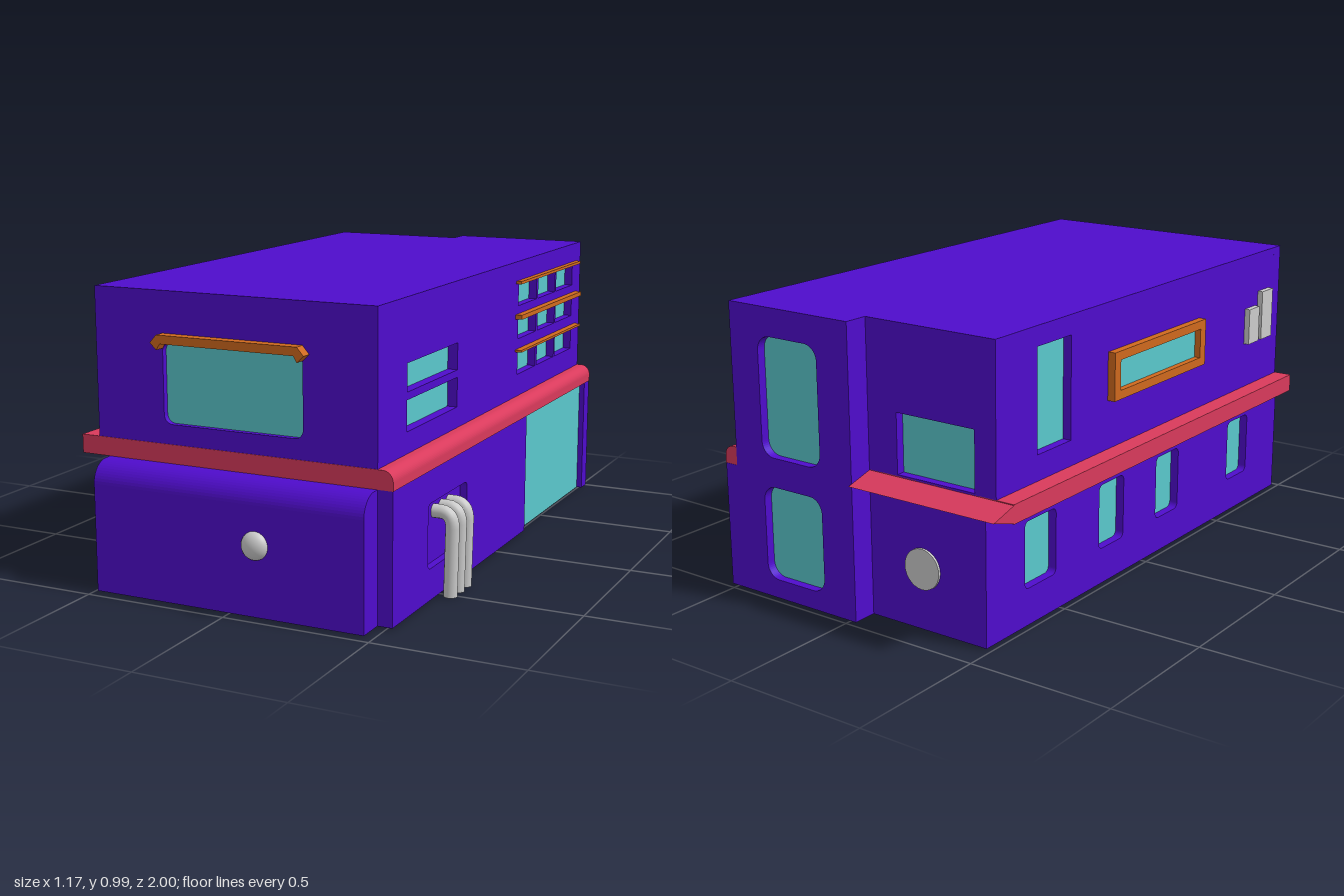
import * as THREE from 'three';

const paint = (color) => new THREE.MeshStandardMaterial({ color, side: THREE.DoubleSide });
const WALL = paint(0x4f0ccc), TRIM = paint(0xd93a5c), WOOD = paint(0xd0691e);
const GLASS = paint(0x5ac8cc), GREY = paint(0xcccccc);
const T = 0.05, BASE = 0.005, MID = 0.433, BAND = 0.495, TOP = 0.985;

// Each side: turn about y, and sign from the world axis to the wall's own axis
const SIDES = {
  front: [0, 1], right: [Math.PI / 2, -1], back: [Math.PI, -1], left: [-Math.PI / 2, 1],
};

export function createModel() {
  const model = new THREE.Group();

  function add(name, geometry, material, parent = model) {
    const mesh = new THREE.Mesh(geometry, material);
    mesh.name = name;
    parent.add(mesh);
    return mesh;
  }

  function box(name, material, x0, x1, y0, y1, z0, z1) {
    const m = add(name, new THREE.BoxGeometry(x1 - x0, y1 - y0, z1 - z0), material);
    m.position.set((x0 + x1) / 2, (y0 + y1) / 2, (z0 + z1) / 2);
    return m;
  }

  function roundRect(Kind, a, b, y0, y1, r) {
    const s = new Kind();
    if (r <= 0) {
      s.moveTo(a, y0).lineTo(b, y0).lineTo(b, y1).lineTo(a, y1).closePath();
      return s;
    }
    s.absarc(b - r, y0 + r, r, -Math.PI / 2, 0);
    s.absarc(b - r, y1 - r, r, 0, Math.PI / 2);
    s.absarc(a + r, y1 - r, r, Math.PI / 2, Math.PI);
    s.absarc(a + r, y0 + r, r, Math.PI, Math.PI * 1.5);
    s.closePath();
    return s;
  }

  const extrude = (shape, depth) =>
    new THREE.ExtrudeGeometry(shape, { depth, bevelEnabled: false, curveSegments: 6 });

  // Wall panel whose outer face lies at distance d; openings are [a, b, y0, y1, radius, recess, material]
  function wall(name, side, d, a, b, y0, y1, openings = []) {
    const [turn, s] = SIDES[side];
    const span = (p, q) => (s > 0 ? [p, q] : [-q, -p]);
    const group = new THREE.Group();
    group.name = name;
    group.rotation.y = turn;
    const shape = roundRect(THREE.Shape, ...span(a, b), y0, y1, 0);
    for (const [p, q, v0, v1, r, recess, material = GLASS] of openings) {
      shape.holes.push(roundRect(THREE.Path, ...span(p, q), v0, v1, r));
      const pane = new THREE.ShapeGeometry(roundRect(THREE.Shape, ...span(p, q), v0, v1, r), 6);
      add(material === GLASS ? 'windowPane' : 'recessPanel', pane, material, group).position.z = d - recess;
    }
    add(name + 'Panel', extrude(shape, T), WALL, group).position.z = d - T;
    model.add(group);
  }

  // Solid core behind the wall panels, with the rear corner notched
  function core(name, x0, x1, y0, y1) {
    const plan = [[x0 + T, 0.825], [x1 - T, 0.825], [x1 - T, -0.935], [-0.03, -0.935], [-0.03, -0.85], [x0 + T, -0.85]];
    const shape = new THREE.Shape(plan.map(([x, z]) => new THREE.Vector2(x, -z)));
    const m = add(name, extrude(shape, y1 - y0), WALL);
    m.rotation.x = -Math.PI / 2;
    m.position.y = y0;
  }
  core('lowerCore', -0.485, 0.52, BASE, MID + 0.01);
  core('upperCore', -0.525, 0.47, MID, TOP);

  // Upper storey
  const grid = [];
  for (const [y0, y1] of [[0.575, 0.663], [0.705, 0.785], [0.825, 0.908]])
    for (const z of [-0.89, -0.69, -0.485]) grid.push([z, z + 0.187, y0, y1, 0, 0.03]);
  wall('upperFrontWall', 'front', 0.875, -0.525, 0.47, MID, TOP, [[-0.275, 0.22, 0.56, 0.822, 0.03, 0.02]]);
  wall('upperRightWall', 'right', 0.47, -0.985, 0.875, MID, TOP, [
    [0.265, 0.665, 0.69, 0.78, 0, 0.035], [0.265, 0.665, 0.565, 0.665, 0, 0.035], ...grid]);
  wall('upperLeftWall', 'left', 0.525, -0.9, 0.875, MID, TOP, [[-0.69, -0.51, 0.58, 0.92, 0, 0.03]]);
  wall('upperRearWall', 'back', 0.9, -0.525, -0.03, MID, TOP, [[-0.445, -0.145, 0.5, 0.7, 0, 0.03]]);
  wall('upperTowerWall', 'back', 0.985, -0.03, 0.47, MID, TOP, [[0.1, 0.35, 0.49, 0.89, 0.05, 0.03]]);

  // Lower storey
  wall('lowerFrontWall', 'front', 0.875, -0.485, 0.52, BASE, MID);
  wall('lowerRightWall', 'right', 0.52, -0.27, 0.875, BASE, MID, [[0.29, 0.61, 0.11, 0.325, 0.02, 0.025, WALL]]);
  wall('rearPost', 'right', 0.52, -0.985, -0.93, BASE, MID);
  wall('lowerLeftWall', 'left', 0.485, -0.9, 0.875, BASE, MID,
    [[-0.7, -0.53], [-0.28, -0.13], [0.08, 0.23], [0.59, 0.74]].map(([a, b]) => [a, b, 0.13, 0.355, 0.02, 0.03]));
  wall('lowerRearWall', 'back', 0.9, -0.485, -0.03, BASE, MID);
  wall('lowerTowerWall', 'back', 0.985, -0.03, 0.52, BASE, MID, [[0.1, 0.35, 0.07, 0.39, 0.05, 0.03]]);
  box('garageGlass', GLASS, 0.465, 0.5, BASE, MID, -0.935, -0.265);

  // Front bulge with rounded top edge
  const bulge = new THREE.Shape();
  bulge.moveTo(0.86, BASE).lineTo(0.97, BASE).lineTo(0.97, 0.363);
  bulge.absarc(0.9, 0.363, 0.07, 0, Math.PI / 2);
  bulge.lineTo(0.86, 0.433).closePath();
  const bulgeMesh = add('frontBulge', extrude(bulge, 0.955), WALL);
  bulgeMesh.rotation.y = -Math.PI / 2;
  bulgeMesh.position.x = 0.47;
  // Turned profile runs along +z, so the extrusion runs towards -x

  // Band between the storeys, rounded along its right edge
  function bandSlab(x0, z0, z1) {
    const s = new THREE.Shape();
    s.moveTo(x0, MID).lineTo(0.522, MID).lineTo(0.522, BAND - 0.035);
    s.absarc(0.487, BAND - 0.035, 0.035, 0, Math.PI / 2);
    s.lineTo(x0, BAND).closePath();
    add('storeyBand', extrude(s, z1 - z0), TRIM).position.z = z0;
  }
  bandSlab(-0.59, -0.9, 0.877);
  bandSlab(0.465, -0.984, -0.9);
  const wedge = new THREE.Shape([[0.89, MID], [1, 0.465], [0.89, BAND]].map((p) => new THREE.Vector2(...p)));
  const rearBand = add('rearBand', extrude(wedge, 0.56), TRIM);
  rearBand.rotation.y = Math.PI / 2;
  rearBand.position.x = -0.59;

  // Awning over the front window
  const awning = new THREE.Shape([[-0.275, 0.85], [-0.298, 0.824], [-0.275, 0.802], [-0.262, 0.822],
    [0.208, 0.822], [0.22, 0.802], [0.243, 0.824], [0.22, 0.85]].map((p) => new THREE.Vector2(...p)));
  add('frontAwning', extrude(awning, 0.04), WOOD).position.z = 0.872;

  // Slats over the window grid
  box('topSlat', WOOD, 0.465, 0.49, 0.906, 0.916, -0.93, -0.27);
  box('middleSlat', WOOD, 0.465, 0.495, 0.78, 0.796, -0.93, -0.27);
  box('bottomSlat', WOOD, 0.465, 0.495, 0.661, 0.669, -0.93, -0.27);

  // Framed window on the left side
  const frame = roundRect(THREE.Shape, -0.3, 0.28, 0.66, 0.822, 0);
  frame.holes.push(roundRect(THREE.Path, -0.265, 0.245, 0.69, 0.792, 0));
  const frameMesh = add('leftWindowFrame', extrude(frame, 0.03), WOOD);
  frameMesh.rotation.y = -Math.PI / 2;
  frameMesh.position.x = -0.522;
  box('leftWindowGlass', GLASS, -0.53, -0.522, 0.68, 0.8, -0.28, 0.26);

  // Wall boxes on the left side
  box('tallWallBox', GREY, -0.545, -0.52, 0.66, 0.84, 0.71, 0.79);
  box('shortWallBox', GREY, -0.545, -0.52, 0.66, 0.79, 0.615, 0.69);

  // Front knob and rear disc
  const knob = add('frontKnob', new THREE.SphereGeometry(0.046, 24, 16), GREY);
  knob.scale.z = 0.7;
  knob.position.set(0.1, 0.235, 0.968);
  const disc = add('rearDisc', new THREE.CylinderGeometry(0.068, 0.068, 0.012, 28), GREY);
  disc.rotation.x = Math.PI / 2;
  disc.position.set(-0.24, 0.21, -0.902);

  // Bent exhaust pipes
  for (const z of [0.39, 0.45, 0.51]) {
    const v = (x, y) => new THREE.Vector3(x, y, z);
    const path = new THREE.CurvePath();
    path.add(new THREE.LineCurve3(v(0.49, 0.278), v(0.525, 0.278)));
    path.add(new THREE.QuadraticBezierCurve3(v(0.525, 0.278), v(0.56, 0.275), v(0.561, 0.23)));
    path.add(new THREE.LineCurve3(v(0.561, 0.23), v(0.556, 0)));
    add('exhaustPipe', new THREE.TubeGeometry(path, 32, 0.023, 14), GREY);
    const cap = add('pipeEnd', new THREE.CircleGeometry(0.023, 14), GREY);
    cap.rotation.x = Math.PI / 2;
    cap.position.set(0.556, 0.001, z);
  }
  return model;
}
